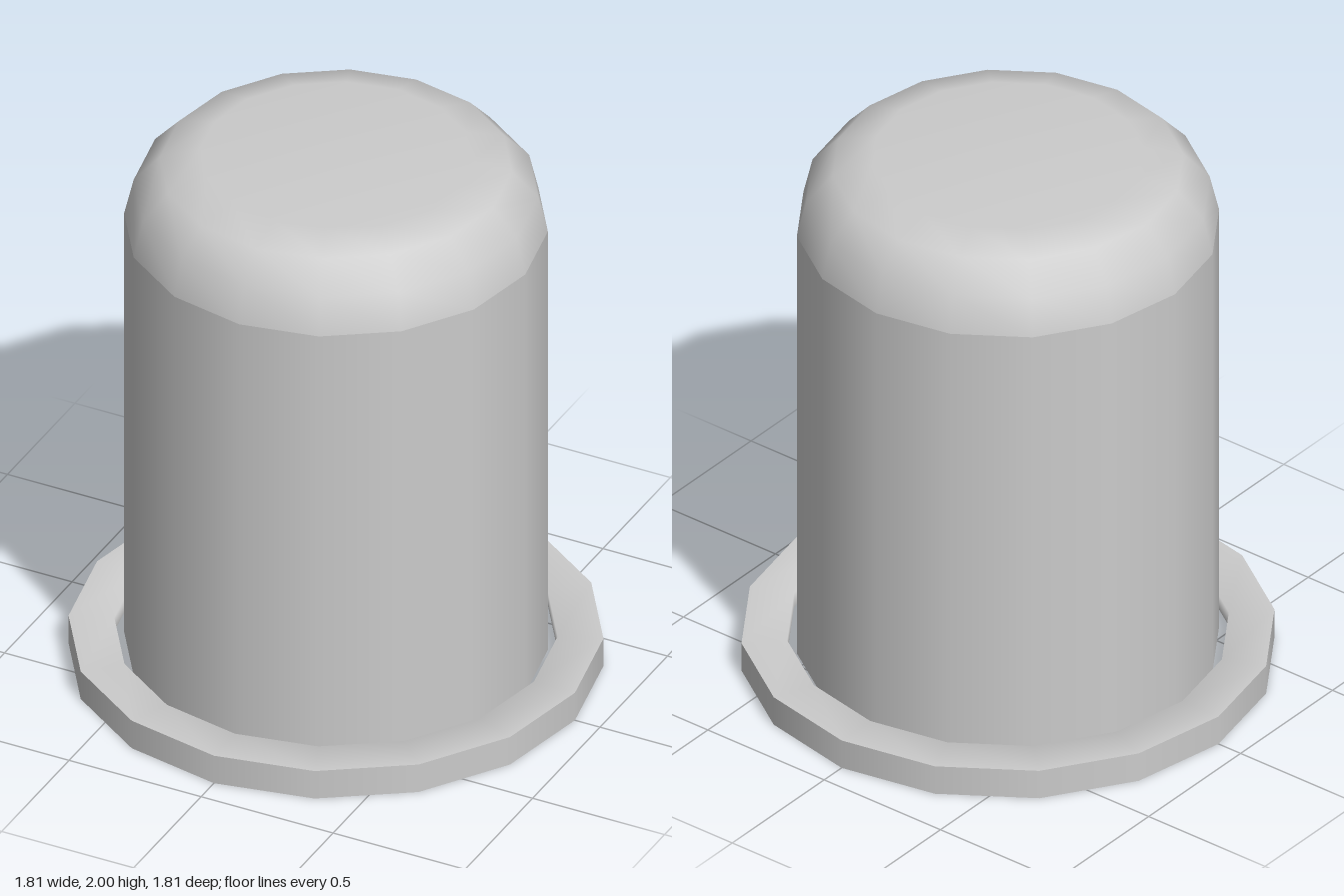
import * as THREE from 'three';

const SIDES = 16;

export function createModel() {
  const group = new THREE.Group();
  const material = new THREE.MeshStandardMaterial({ color: 0xcccccc, side: THREE.DoubleSide });

  // Revolves a profile of [radius, height] pairs around y
  function addLathe(name, profile) {
    const points = profile.map(([r, y]) => new THREE.Vector2(r, y));
    const mesh = new THREE.Mesh(new THREE.LatheGeometry(points, SIDES), material);
    mesh.name = name;
    group.add(mesh);
  }

  // Hollow cap, open below, with a rounded shoulder
  addLathe('capWall', [[0.717, 0.055], [0.717, 1.73]]);
  addLathe('capCrown', [[0.717, 1.73], [0.685, 1.865], [0.595, 1.963], [0.46, 2], [0, 2]]);

  // Loose collar ring around the foot, open below
  addLathe('collarOuterWall', [[0.905, 0], [0.905, 0.11]]);
  addLathe('collarTopAndLip', [[0.905, 0.11], [0.75, 0.11], [0.75, 0.055]]);

  return group;
}
